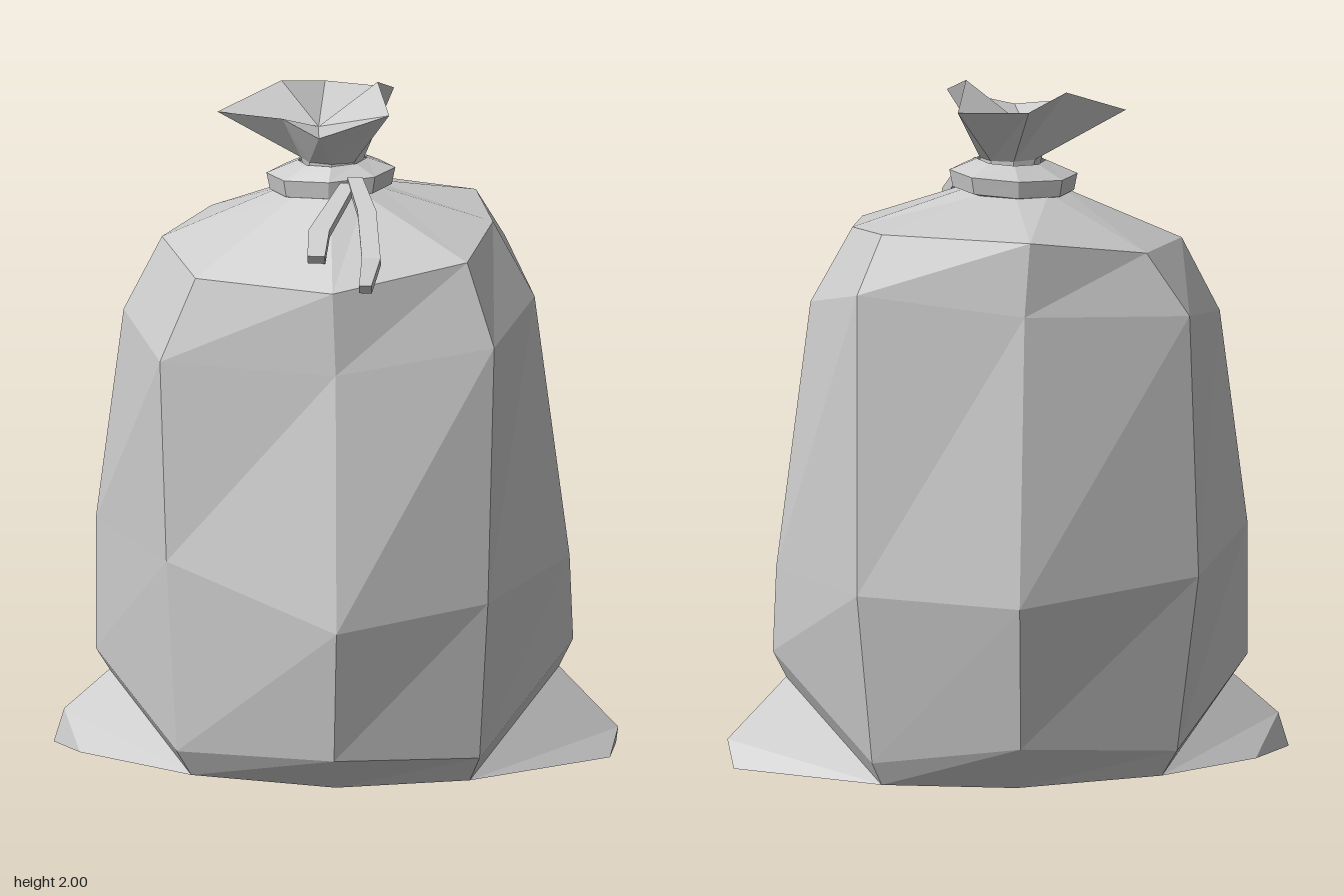
import * as THREE from 'three';

const material = new THREE.MeshStandardMaterial({ color: 0xcccccc, flatShading: true, side: THREE.DoubleSide });

// Flat-shaded mesh from polygons, each a counter-clockwise list of points
function polyMesh(name, polygons) {
  const pos = [];
  for (const p of polygons)
    for (let i = 1; i < p.length - 1; i++) pos.push(...p[0], ...p[i], ...p[i + 1]);
  const geometry = new THREE.BufferGeometry();
  geometry.setAttribute('position', new THREE.Float32BufferAttribute(pos, 3));
  geometry.computeVertexNormals();
  const mesh = new THREE.Mesh(geometry, material);
  mesh.name = name;
  return mesh;
}

// Quads between successive rings, listed from bottom to top
function loft(rings) {
  const faces = [];
  for (let r = 0; r < rings.length - 1; r++) {
    const lo = rings[r], up = rings[r + 1], n = lo.length;
    for (let i = 0; i < n; i++) {
      const j = (i + 1) % n;
      faces.push([lo[j], lo[i], up[i], up[j]]);
    }
  }
  return faces;
}

const fan = (center, ring) => ring.map((p, i) => [center, ring[(i + 1) % ring.length], p]);

// Oval ring running +x, +z, -x, -z, tilted by a slope along x
function oval(cx, y, cz, rx, rz, n = 8, slope = 0) {
  return Array.from({ length: n }, (_, i) => {
    const a = (i / n) * Math.PI * 2, x = cx + rx * Math.cos(a);
    return [x, y + slope * x, cz + rz * Math.sin(a)];
  });
}

export function createModel() {
  const group = new THREE.Group();
  group.name = 'tiedSack';

  // Sack body: rings from floor to shoulders, eight points each
  const base = [[0.64, 0.25, -0.01], [0.4, 0, 0.3], [0.02, 0, 0.39], [-0.4, 0, 0.29],
    [-0.65, 0.22, -0.01], [-0.41, 0, -0.3], [0.02, 0, -0.39], [0.4, 0, -0.31]];
  const body = [
    base,
    [[0.68, 0.33, -0.02], [0.43, 0.08, 0.34], [0.02, 0.11, 0.49], [-0.44, 0.08, 0.32],
      [-0.69, 0.28, -0.02], [-0.45, 0.08, -0.33], [0.02, 0.14, -0.49], [0.43, 0.07, -0.33]],
    [[0.67, 0.58, -0.02], [0.455, 0.55, 0.36], [0.03, 0.51, 0.55], [-0.47, 0.65, 0.32],
      [-0.69, 0.67, -0.02], [-0.51, 0.6, -0.35], [0.03, 0.57, -0.55], [0.48, 0.58, -0.38]],
    [[0.57, 1.36, -0.01], [0.47, 1.3, 0.3], [0.02, 1.24, 0.4], [-0.49, 1.24, 0.29],
      [-0.61, 1.3, -0.02], [-0.49, 1.36, -0.3], [0, 1.4, -0.415], [0.47, 1.45, -0.3]],
    [[0.45, 1.58, -0.02], [0.39, 1.54, 0.25], [0.01, 1.48, 0.38], [-0.39, 1.48, 0.25],
      [-0.5, 1.52, -0.02], [-0.37, 1.54, -0.26], [-0.02, 1.61, -0.38], [0.39, 1.61, -0.23]],
    oval(-0.01, 1.68, -0.01, 0.14, 0.11),
  ];
  group.add(polyMesh('sackBody', loft(body)));

  // Folded bottom corners: two sloping faces with a blunt end
  const leftTip = [[0.8, 0, -0.08], [0.81, 0.07, -0.01], [0.79, 0, 0.06]];
  const rightTip = [[-0.73, 0, 0.09], [-0.78, 0.1, -0.01], [-0.7, 0, -0.14]];
  const rightEnd = [-0.81, 0, -0.01];
  group.add(polyMesh('leftBottomCorner', [
    [base[1], leftTip[2], leftTip[1], base[0]],
    [base[7], base[0], leftTip[1], leftTip[0]],
    [leftTip[2], leftTip[0], leftTip[1]],
  ]));
  group.add(polyMesh('rightBottomCorner', [
    [base[5], rightTip[2], rightTip[1], base[4]],
    [base[3], base[4], rightTip[1], rightTip[0]],
    [rightTip[2], rightEnd, rightTip[1]],
    [rightEnd, rightTip[0], rightTip[1]],
  ]));

  // Flat underside reaching out to both corners
  group.add(polyMesh('underside', [[leftTip[2], base[1], base[2], base[3], rightTip[0],
    rightEnd, rightTip[2], base[5], base[6], base[7], leftTip[0]]]));

  // Gathered mouth flaring above the tie, with a sunken middle
  const rim = [[0.12, 2, 0], [0.16, 1.94, 0.13], [-0.04, 1.88, 0.17], [-0.15, 1.91, 0.08],
    [-0.34, 1.9, -0.01], [-0.16, 1.975, -0.08], [-0.04, 1.945, -0.18], [0.16, 1.94, -0.14]];
  const neck = [oval(0, 1.68, 0, 0.08, 0.07), oval(-0.01, 1.77, 0, 0.09, 0.065), rim];
  group.add(polyMesh('gatheredMouth', [...loft(neck), ...fan([-0.05, 1.86, -0.01], rim)]));

  // Cord wrapped around the neck
  group.add(polyMesh('cordBand', loft([
    oval(-0.01, 1.665, -0.015, 0.1, 0.09, 8, 0.05),
    oval(-0.015, 1.68, -0.015, 0.175, 0.12, 8, 0.06),
    oval(-0.015, 1.73, -0.015, 0.185, 0.125, 8, 0.06),
    oval(-0.01, 1.765, -0.01, 0.1, 0.08, 8, 0.05),
  ])));

  // Loose cord ends: square strips listed from free end to knot
  function cordEnd(name, path, widths) {
    const rings = path.map(([x, y, z], i) => {
      const w = widths[i], t = 0.018;
      return [[1, 1], [-1, 1], [-1, -1], [1, -1]].map(([a, b]) =>
        [x + a * w, y + b * t * 0.8, z + b * t * 0.6]);
    });
    const last = rings[rings.length - 1];
    group.add(polyMesh(name, [...loft(rings), rings[0], [...last].reverse()]));
  }
  cordEnd('shortCordEnd', [[-0.04, 1.56, 0.31], [-0.035, 1.62, 0.25], [0.04, 1.715, 0.1]], [0.025, 0.03, 0.022]);
  cordEnd('longCordEnd', [[0.105, 1.5, 0.395], [0.12, 1.57, 0.35], [0.1, 1.665, 0.2], [0.06, 1.73, 0.09]],
    [0.018, 0.027, 0.027, 0.022]);

  return group;
}
